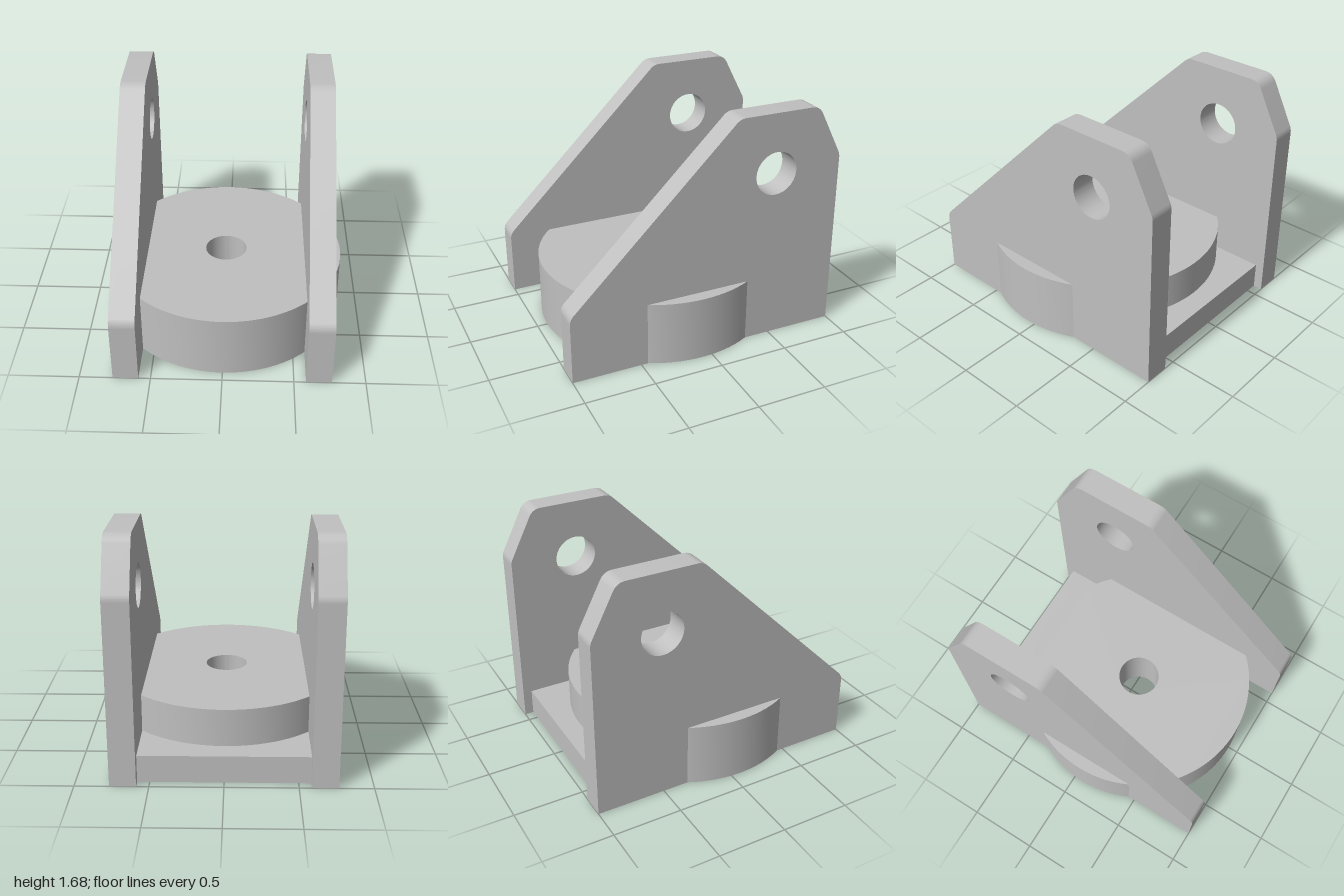
import * as THREE from 'three';
import { toCreasedNormals } from 'three/addons/utils/BufferGeometryUtils.js';

// Polygon with each corner [x, y, fillet tangent length] rounded
function roundedShape(points) {
  const shape = new THREE.Shape();
  points.forEach(([x, y, t], i) => {
    const p = new THREE.Vector2(x, y);
    const toward = (q) => new THREE.Vector2(q[0], q[1]).sub(p).setLength(t).add(p);
    const a = toward(points[(i + points.length - 1) % points.length]);
    const b = toward(points[(i + 1) % points.length]);
    if (i === 0) shape.moveTo(a.x, a.y);
    else shape.lineTo(a.x, a.y);
    if (t > 0) shape.quadraticCurveTo(x, y, b.x, b.y);
  });
  shape.closePath();
  return shape;
}

function addHole(shape, x, y, r) {
  const hole = new THREE.Path();
  hole.absarc(x, y, r, 0, Math.PI * 2, true);
  shape.holes.push(hole);
}

function extrude(shape, depth) {
  const geo = new THREE.ExtrudeGeometry(shape, { depth, bevelEnabled: false, curveSegments: 48 });
  return toCreasedNormals(geo, Math.PI / 7);
}

export function createModel() {
  const group = new THREE.Group();
  const metal = new THREE.MeshStandardMaterial({ color: 0xc0c0c0 });
  metal.name = 'light grey metal';

  const add = (name, geometry) => {
    const mesh = new THREE.Mesh(geometry, metal);
    mesh.name = name;
    group.add(mesh);
    return mesh;
  };

  // Side plates: profile in (z, y), extruded along x
  const inner = 0.585, outer = 0.765;
  const profile = roundedShape([
    [-1, 0, 0], [1, 0, 0], [1, 0.487, 0.04],
    [-0.21, 1.68, 0.042], [-0.81, 1.68, 0.06], [-1, 1.31, 0.025],
  ]);
  addHole(profile, -0.5, 1.25, 0.155);
  const plate = extrude(profile, outer - inner);
  plate.rotateY(-Math.PI / 2);
  add('leftSidePlate', plate).position.x = outer;
  add('rightSidePlate', plate).position.x = -inner;

  // Round base with a centre bore
  const disc = new THREE.Shape();
  disc.absarc(0, 0, 0.855, 0, Math.PI * 2, false);
  addHole(disc, 0, 0, 0.152);
  const base = extrude(disc, 0.465);
  base.rotateX(-Math.PI / 2);
  add('roundBase', base).position.z = 0.07;

  // Low web joining the side plates behind the base
  const web = new THREE.BoxGeometry(inner * 2 + 0.02, 0.195, 0.435);
  add('rearWeb', web).position.set(0, 0.0975, -0.7175);

  return group;
}
